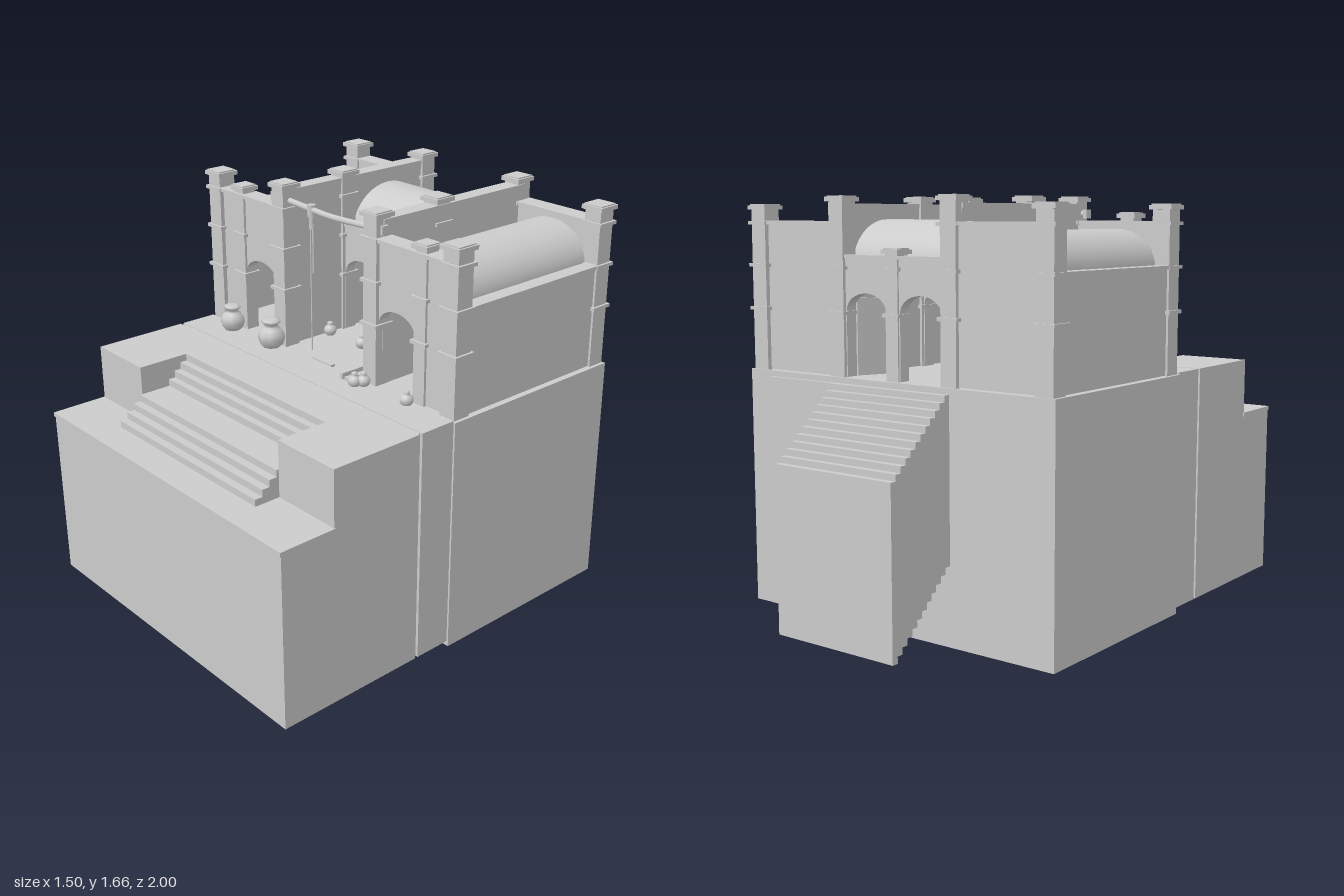
import * as THREE from 'three';

const material = new THREE.MeshStandardMaterial({ color: 0xcccccc, side: THREE.DoubleSide });
const FLOOR = 0.97;

export function createModel() {
  const root = new THREE.Group();

  const add = (name, geometry, x = 0, y = 0, z = 0) => {
    const mesh = new THREE.Mesh(geometry, material);
    mesh.name = name;
    mesh.position.set(x, y, z);
    root.add(mesh);
    return mesh;
  };
  // Box given by its limits on each axis
  const box = (name, x0, x1, y0, y1, z0, z1) =>
    add(name, new THREE.BoxGeometry(x1 - x0, y1 - y0, z1 - z0), (x0 + x1) / 2, (y0 + y1) / 2, (z0 + z1) / 2);
  // Box without its bottom face
  const shell = (...limits) => {
    const g = box(...limits).geometry;
    g.setIndex([...g.index.array].filter((_, i) => i < 18 || i > 23));
    g.clearGroups();
  };
  // Side profile of [z, y] points, extruded from x0 to x1
  const sideProfile = (name, points, x0, x1) => {
    const shape = new THREE.Shape(points.map(([z, y]) => new THREE.Vector2(-z, y)));
    const geometry = new THREE.ExtrudeGeometry(shape, { depth: x1 - x0, bevelEnabled: false });
    geometry.rotateY(Math.PI / 2);
    return add(name, geometry, x0);
  };

  // Hollow base: rear block, side seam and front terrace with two levels
  shell('rearBase', -0.75, 0.75, 0, 0.968, -0.68, 0.185);
  shell('seamCore', -0.73, 0.73, 0.02, 0.972, 0.185, 0.36);
  shell('terraceJoint', -0.742, 0.742, 0.02, 0.975, 0.185, 0.343);
  shell('upperTerrace', -0.742, 0.742, 0.02, 0.975, 0.357, 0.54);
  shell('lowerTerrace', -0.742, 0.742, 0.02, 0.735, 0.54, 0.995);
  shell('lowerTerraceEdge', -0.745, 0.745, 0.73, 0.747, 0.755, 1);
  shell('stairCore', -0.44, 0.44, 0.02, 0.73, 0.54, 0.87);
  box('terraceWing', -0.742, -0.44, 0.02, 0.975, 0.54, 0.76);
  box('terraceWing', 0.44, 0.742, 0.02, 0.975, 0.54, 0.76);

  // Front stairs: two flights with a landing between them
  const front = [[0.54, 0.73], [0.54, 0.946]];
  for (let i = 0; i < 3; i++) {
    const z = 0.57 + i * 0.03, y = 0.946 - i * 0.029;
    front.push([z, y], [z, y - 0.029]);
  }
  front.push([0.77, 0.859]);
  for (let i = 0; i < 4; i++) {
    const z = 0.77 + i * 0.033, y = 0.831 - i * 0.028;
    front.push([z, y], [z + 0.033, y]);
  }
  front.push([0.87, 0.73]);
  sideProfile('frontStairs', front, -0.44, 0.44);

  // Rear stairs: stepped above and below
  const upper = [], lower = [];
  const steps = 12, run = 0.32 / steps;
  for (let i = 0; i < steps; i++) {
    const z = -0.68 - i * run, y = 0.945 - i * 0.0245, b = 0.31 - i * 0.0262;
    upper.push([z, y], [z - run, y]);
    lower.push([z, b], [z - run, b]);
  }
  sideProfile('rearStairs', [...upper, ...lower.reverse()], -0.285, 0.285);
  box('rearLedge', 0.285, 0.63, 0.88, 0.945, -0.695, -0.68);

  // Pillar with bands and a cap, its foot reaching into the hollow base
  const pillar = (name, x, z, width, top) => {
    const h = width / 2;
    const ring = (part, grow, y0, y1) =>
      box(name + part, x - h - grow, x + h + grow, y0, y1, z - h - grow, z + h + grow);
    ring('', 0, 0.43, top - 0.02);
    for (const y of [1.215, 1.388, 1.555]) if (y < top - 0.05) ring('Band', 0.01, y - 0.007, y + 0.007);
    ring('Cap', 0.011, top - 0.022, top - 0.005);
    ring('CapTop', 0.004, top - 0.005, top);
  };
  const FRONT = 0.14, MID = -0.175, BACK = -0.635;
  for (const s of [-1, 1]) {
    for (const z of [FRONT, BACK]) pillar('cornerPillar', s * 0.698, z, 0.076, 1.63);
    for (const z of [FRONT, MID, BACK]) pillar('innerPillar', s * 0.275, z, 0.072, 1.66);
    pillar('facadePillar', s * 0.54, FRONT, 0.06, 1.597);
  }
  for (const z of [MID, BACK]) pillar('archPillar', 0, z, 0.06, 1.465);

  // Wall across x with arched openings [left, right]
  const archWall = (name, x0, x1, top, z, thickness, arches) => {
    const shape = new THREE.Shape();
    shape.moveTo(x0, FLOOR);
    for (const [a, b] of arches) {
      shape.lineTo(a, FLOOR);
      shape.lineTo(a, 1.225);
      shape.absellipse((a + b) / 2, 1.225, (b - a) / 2, 0.068, Math.PI, 0, true);
      shape.lineTo(b, FLOOR);
    }
    shape.lineTo(x1, FLOOR);
    shape.lineTo(x1, top);
    shape.lineTo(x0, top);
    add(name, new THREE.ExtrudeGeometry(shape, { depth: thickness, bevelEnabled: false, curveSegments: 14 }), 0, 0, z - thickness / 2);
  };
  for (const z of [MID, BACK]) {
    archWall('courtArcade', -0.27, 0.27, 1.435, z, 0.045, [[-0.235, -0.035], [0.035, 0.235]]);
    box('arcadeRail', -0.27, 0.27, 1.425, 1.437, z - 0.03, z + 0.03);
  }
  archWall('leftFacade', 0.28, 0.7, 1.56, FRONT - 0.005, 0.05, [[0.31, 0.505]]);
  archWall('rightFacade', -0.7, -0.28, 1.56, FRONT - 0.005, 0.05, [[-0.515, -0.31]]);

  // Side, rear and dividing walls with rails, and the vaults
  const vault = (rx, ry, length) => {
    const g = new THREE.CylinderGeometry(1, 1, length, 28, 1, true, -Math.PI / 2, Math.PI);
    g.rotateX(-Math.PI / 2); // half cylinder lies along z
    g.scale(rx, ry, 1);
    return g;
  };
  for (const s of [-1, 1]) {
    const span = (name, a, b, ...rest) => box(name, s < 0 ? -b : a, s < 0 ? -a : b, ...rest);
    span('sideWall', 0.685, 0.727, FLOOR, 1.385, BACK, FRONT);
    span('sideRail', 0.68, 0.742, 1.381, 1.395, BACK, FRONT);
    span('rearWall', 0.28, 0.7, FLOOR, 1.56, BACK - 0.02, BACK + 0.03);
    for (const z of [FRONT, BACK]) span('wallRail', 0.28, 0.7, 1.55, 1.564, z - 0.042, z + 0.042);
    span('dividingWall', 0.25, 0.312, FLOOR, 1.615, BACK, FRONT);
    span('dividingRail', 0.246, 0.316, 1.612, 1.63, BACK, FRONT);
    span('wingRoof', 0.29, 0.69, 1.36, 1.385, BACK, FRONT);
    add('wingVault', vault(0.185, 0.15, FRONT - BACK - 0.04), s * 0.49, 1.383, (FRONT + BACK) / 2);
    // Half-open door leaf at the rear arch
    const leaf = add('doorLeaf', new THREE.BoxGeometry(0.015, 0.3, 0.15), s * 0.205, FLOOR + 0.15, BACK + 0.1);
    leaf.rotation.y = -s * 0.4;
  }
  box('courtRoof', -0.26, 0.26, 1.36, 1.385, BACK, MID);
  const courtVault = vault(0.2, 0.185, 0.52);
  courtVault.rotateY(Math.PI / 2);
  add('courtVault', courtVault, 0, 1.385, (MID + BACK) / 2);

  // Sagging crossbeam over the court entrance, with hanging cord and rod
  const beam = new THREE.CatmullRomCurve3([[-0.34, 1.592], [-0.15, 1.582], [0, 1.575], [0.15, 1.58], [0.32, 1.59]]
    .map(([x, y]) => new THREE.Vector3(x, y, FRONT)));
  add('crossbeam', new THREE.TubeGeometry(beam, 20, 0.013, 8));
  for (const x of [-0.335, 0.315]) box('beamEnd', x - 0.008, x + 0.008, 1.573, 1.608, FRONT - 0.016, FRONT + 0.016);
  const rod = (name, x, y0, y1, r) => add(name, new THREE.CylinderGeometry(r, r, y1 - y0, 8), x, (y0 + y1) / 2, FRONT);
  rod('beamCollar', -0.105, 1.55, 1.6, 0.017);
  rod('collarStem', -0.105, 1.5, 1.55, 0.01);
  rod('hangingCord', -0.112, 0.985, 1.52, 0.003);
  rod('hangingRod', -0.097, 1.32, 1.52, 0.004);

  // Pots on the terrace, in the court and in the wing
  const body = [[0, 0], [0.6, 0], [0.85, 0.25], [1, 0.7], [0.97, 1.05], [0.75, 1.4], [0.5, 1.55]];
  const jar = [...body, [0.5, 1.75], [0.68, 1.9], [0.68, 2.08], [0.4, 2.15], [0, 2.15]];
  const jug = [...body, [0.4, 1.75], [0.5, 2], [0.3, 2.15], [0, 2.2]];
  const pot = (name, profile, x, z, r) =>
    add(name, new THREE.LatheGeometry(profile.map(([a, b]) => new THREE.Vector2(a * r, b * r)), r > 0.04 ? 8 : 12), x, 0.972, z);
  pot('largePot', jar, -0.545, 0.222, 0.052);
  pot('largePot', jar, -0.278, 0.222, 0.057);
  const small = [[-0.355, 0.02], [-0.22, -0.05], [-0.03, -0.105], [-0.02, -0.05], [0.03, -0.085], [0.28, 0.21], [0.258, 0.237], [0.52, 0.21]];
  for (const [x, z] of small) pot('smallPot', jug, x, z, 0.027);

  // Low bench and mat at the court entrance
  box('bench', 0.17, 0.185, FLOOR, 1, -0.1, 0.235);
  box('bench', 0.197, 0.222, FLOOR, 0.99, -0.11, 0.235);
  box('doorMat', -0.065, 0.055, FLOOR, 0.98, 0.162, 0.182);

  return root;
}
